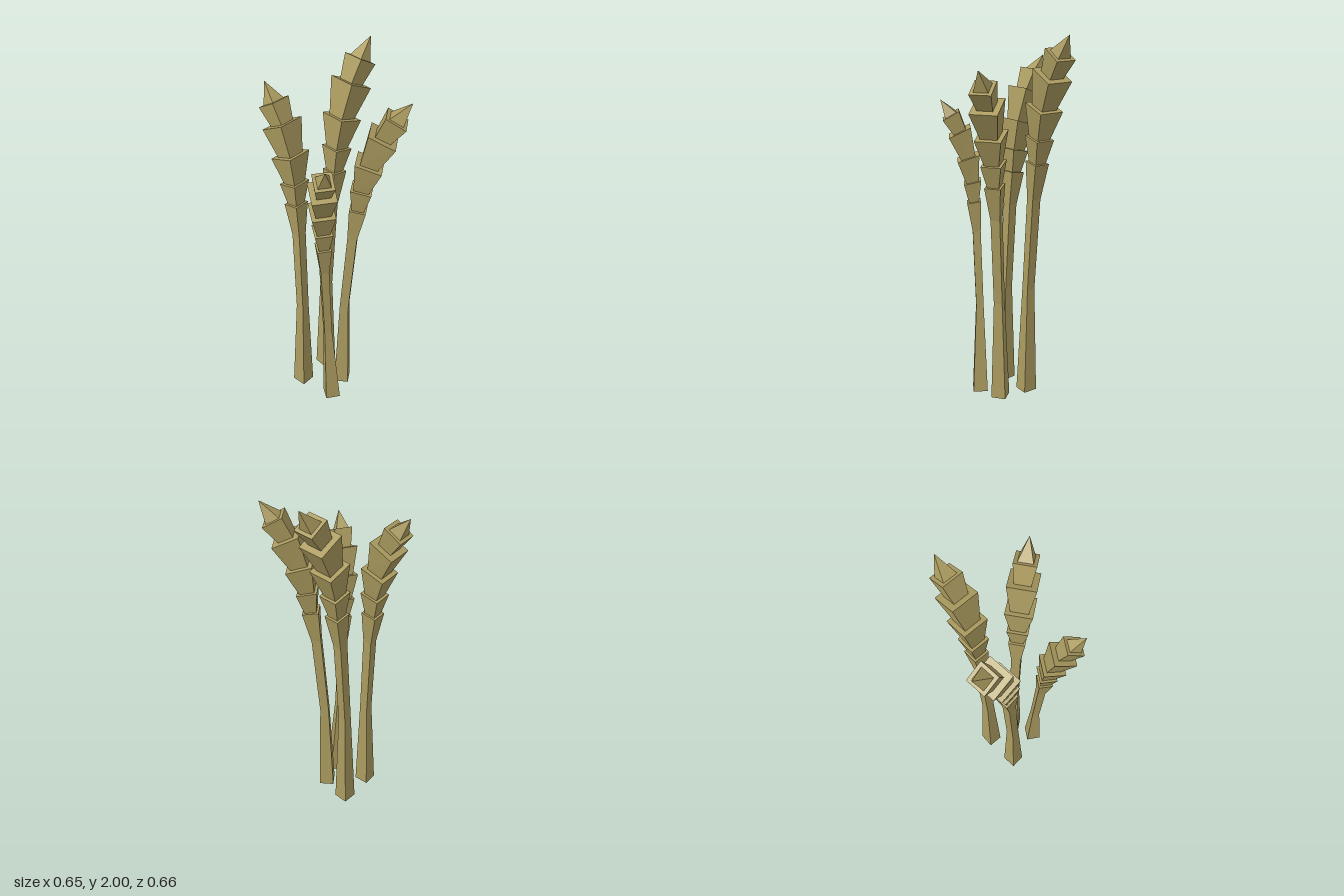
import * as THREE from 'three';

const straw = new THREE.MeshStandardMaterial({ color: 0xac9c60, flatShading: true });

// Cross-sections of one stalk: u = forward drift, y = height, w = width, lean in degrees
const stem = [
  { u: 0, y: 0, w: 0.08, lean: 0 },
  { u: 0.012, y: 0.62, w: 0.047, lean: 2 },
  { u: 0.052, y: 1.14, w: 0.05, lean: 8 },
];
const kernelTops = [
  { u: 0.079, y: 1.34, w: 0.086, lean: 9 },
  { u: 0.095, y: 1.472, w: 0.107, lean: 12 },
  { u: 0.13, y: 1.633, w: 0.138, lean: 18 },
  { u: 0.192, y: 1.8, w: 0.145, lean: 26 },
  { u: 0.252, y: 1.905, w: 0.112, lean: 30 },
];
const kernelBase = [0.05, 0.06, 0.075, 0.088, 0.08];
const tip = { u: 0.32, y: 2.0, w: 0.001, lean: 34 };

// Each stalk: base x/z, heading x/z, height and width scale, forward and sideways drift at the top
const stalks = [
  { x: 0, z: -0.105, hx: 1, hz: 0, h: 1, s: 1, du: 0, dl: -0.005 },
  { x: -0.02, z: 0.06, hx: 0.62, hz: 0.78, h: 0.925, s: 1, du: 0, dl: 0 },
  { x: -0.15, z: 0.11, hx: -0.5, hz: 0.866, h: 0.823, s: 0.86, du: -0.09, dl: 0.065 },
  { x: -0.193, z: -0.09, hx: -0.1, hz: -0.995, h: 0.925, s: 0.98, du: -0.078, dl: 0.042 },
];

// Four-sided block between two leaning square sections
function block(name, a, b, k) {
  const geo = new THREE.BoxGeometry(1, 1, 1);
  const p = geo.attributes.position;
  for (let i = 0; i < p.count; i++) {
    const c = p.getY(i) > 0 ? b : a;
    const w = c.y === 0 ? c.w : c.w * k.s; // every foot has the same size
    const t = THREE.MathUtils.degToRad(c.lean);
    const f = c.y / 2;
    p.setXYZ(i,
      c.u * k.s + k.du * f ** 1.6 + p.getX(i) * w * Math.cos(t),
      c.y * k.h - p.getX(i) * w * Math.sin(t),
      k.dl * f + p.getZ(i) * w);
  }
  geo.computeVertexNormals();
  const mesh = new THREE.Mesh(geo, straw);
  mesh.name = name;
  return mesh;
}

// Section pushed slightly down its own axis
function sunk(c, w, d) {
  const t = THREE.MathUtils.degToRad(c.lean);
  return { u: c.u - d * Math.sin(t), y: c.y - d * Math.cos(t), w, lean: c.lean };
}

function buildStalk(k) {
  const g = new THREE.Group();
  g.name = 'stalk';
  // stem
  g.add(block('lowerStem', stem[0], stem[1], k), block('upperStem', stem[1], stem[2], k));
  // overlapping flared kernels
  let below = stem[2];
  kernelTops.forEach((top, i) => {
    g.add(block('kernel', sunk(below, kernelBase[i], i ? 0.006 : 0), top, k));
    below = top;
  });
  // pointed tip
  g.add(block('tip', sunk(below, 0.078, 0.004), tip, k));
  g.position.set(k.x, 0, k.z);
  g.rotation.y = Math.atan2(-k.hz, k.hx);
  return g;
}

export function createModel() {
  const model = new THREE.Group();
  model.name = 'grainStalks';
  for (const k of stalks) model.add(buildStalk(k));
  return model;
}
